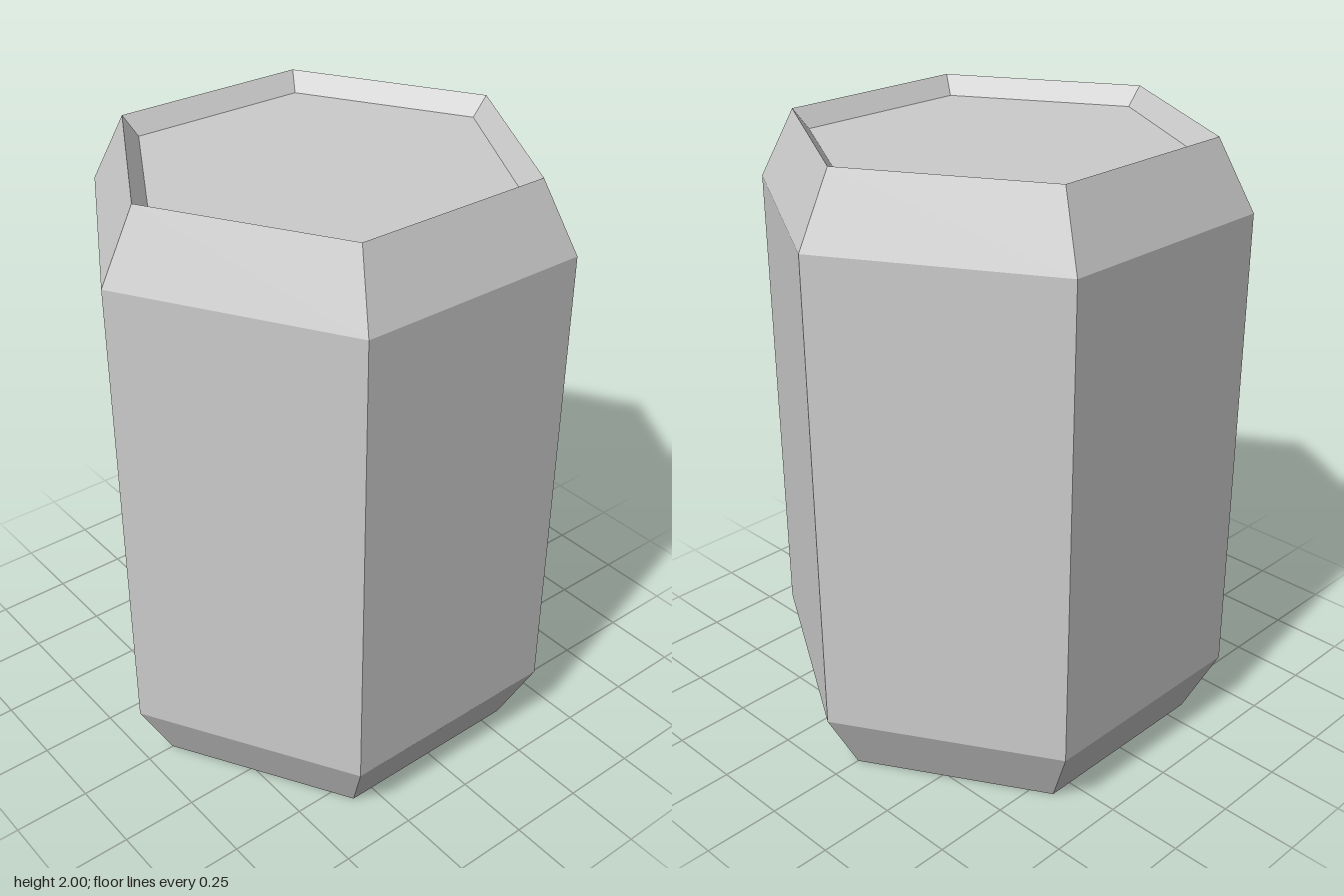
import * as THREE from 'three';

const SIDES = 6;
const HEIGHT = 2;
const BODY_R = 0.77;    // corner radius of the body
const RIM_R = 0.655;    // corner radius of the rim
const PANEL_R = 0.603;  // corner radius of the sunken end panel
const BEVEL = 0.22;     // height of the sloped shoulder
const DEPTH = 0.06;     // depth of the end recess

export function createModel() {
  const group = new THREE.Group();
  group.name = 'hexagonalCan';
  const material = new THREE.MeshStandardMaterial({ color: 0xcccccc, flatShading: true });

  // Six-sided turned part from a profile of [radius, y], listed so faces point outward
  const addPart = (name, profile) => {
    const points = profile.map(([r, y]) => new THREE.Vector2(r, y));
    const mesh = new THREE.Mesh(new THREE.LatheGeometry(points, SIDES, Math.PI / 2), material);
    mesh.name = name;
    group.add(mesh);
  };

  // Straight six-sided wall
  addPart('body', [[BODY_R, BEVEL], [BODY_R, HEIGHT - BEVEL]]);

  // Matching ends: sloped shoulder, tapered recess wall and flat sunken panel
  for (const top of [true, false]) {
    const end = top ? 'top' : 'bottom';
    const place = (profile) => top
      ? profile.map(([r, d]) => [r, HEIGHT - d])
      : profile.map(([r, d]) => [r, d]).reverse();
    addPart(end + 'Shoulder', place([[BODY_R, BEVEL], [RIM_R, 0]]));
    addPart(end + 'RecessWall', place([[RIM_R, 0], [PANEL_R, DEPTH]]));
    addPart(end + 'Panel', place([[PANEL_R, DEPTH], [0, DEPTH]]));
  }

  return group;
}
